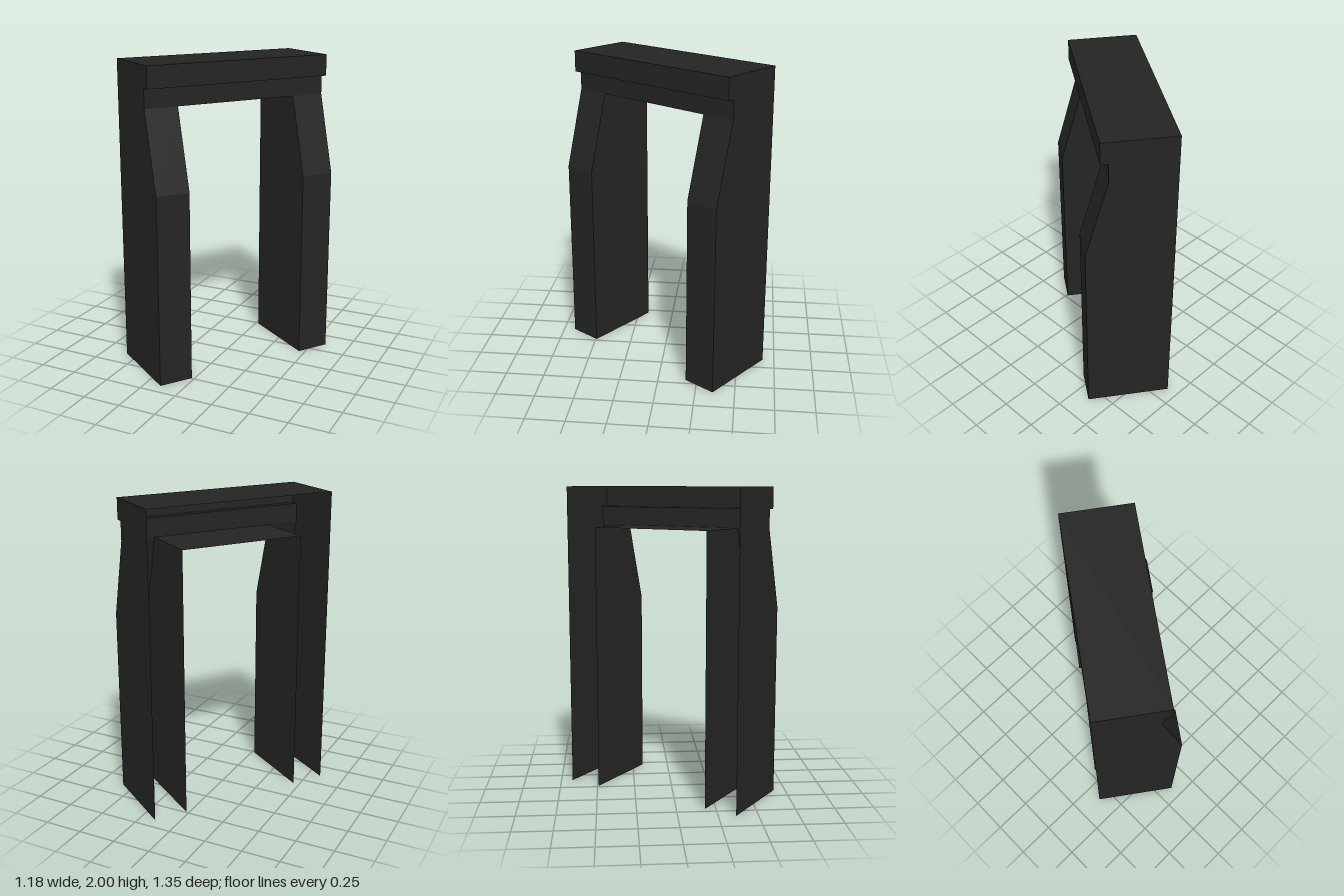
import * as THREE from 'three';

// Hollow fireplace surround: thin panels, open at the back and under the legs.
const W = 0.634;        // half width
const LEG = 0.222;      // leg width
const LEG_Z = 0.541;    // leg depth
const LINTEL_Z = 0.4;   // lintel depth
const SHELF_Z = 0.448;  // shelf depth
const KNEE = 1.235, OPENING = 1.74, LIP = 1.863, TOP = 2;

const black = new THREE.MeshStandardMaterial({ color: 0x242424, side: THREE.DoubleSide });
black.name = 'matte black';

function add(parent, name, geometry) {
  const mesh = new THREE.Mesh(geometry, black);
  mesh.name = name;
  parent.add(mesh);
}

// Flat faces sweeping a [z, y] profile from x0 to x1
function strip(x0, x1, profile) {
  const pos = [];
  for (let i = 0; i + 1 < profile.length; i++) {
    const [z0, y0] = profile[i], [z1, y1] = profile[i + 1];
    const a = [x0, y0, z0], b = [x1, y0, z0], c = [x1, y1, z1], d = [x0, y1, z1];
    pos.push(...a, ...b, ...c, ...a, ...c, ...d);
  }
  const geo = new THREE.BufferGeometry();
  geo.setAttribute('position', new THREE.Float32BufferAttribute(pos, 3));
  geo.computeVertexNormals();
  return geo;
}

// Upright panel with a [z, y] outline, facing +x (1) or -x (-1)
function sidePanel(x, facing, outline) {
  const shape = new THREE.Shape(outline.map(([z, y]) => new THREE.Vector2(-facing * z, y)));
  return new THREE.ShapeGeometry(shape).rotateY(facing * Math.PI / 2).translate(x, 0, 0);
}

export function createModel() {
  const model = new THREE.Group();
  model.name = 'fireplaceSurround';
  const body = new THREE.Group();
  body.name = 'surround';
  model.add(body);

  const legFront = [[LEG_Z, 0], [LEG_Z, KNEE], [LINTEL_Z, OPENING]];
  const header = [[LINTEL_Z, LIP], [SHELF_Z, LIP], [SHELF_Z, TOP], [0, TOP]];

  // Legs: outer side, inner side and kinked front
  for (const s of [-1, 1]) {
    const leg = new THREE.Group();
    leg.name = s > 0 ? 'leftLeg' : 'rightLeg';
    const inner = W - LEG;
    add(leg, 'outerSide', sidePanel(s * W, s, [[0, 0], ...legFront, ...header]));
    add(leg, 'innerSide', sidePanel(s * inner, -s, [[0, 0], ...legFront, [0, OPENING]]));
    add(leg, 'legFront', strip(s > 0 ? inner : -W, s > 0 ? W : -inner, legFront));
    body.add(leg);
  }

  // Lintel and shelf
  add(body, 'openingTop', strip(LEG - W, W - LEG, [[0, OPENING], [LINTEL_Z, OPENING]]));
  add(body, 'lintelFront', strip(-W, W, [[LINTEL_Z, OPENING], [LINTEL_Z, LIP]]));
  add(body, 'shelf', strip(-W, W, header));

  // The surround stands turned towards +x
  body.children.forEach((part) => { part.position.z = -LEG_Z / 2; });
  body.rotation.y = 0.953;
  return model;
}
